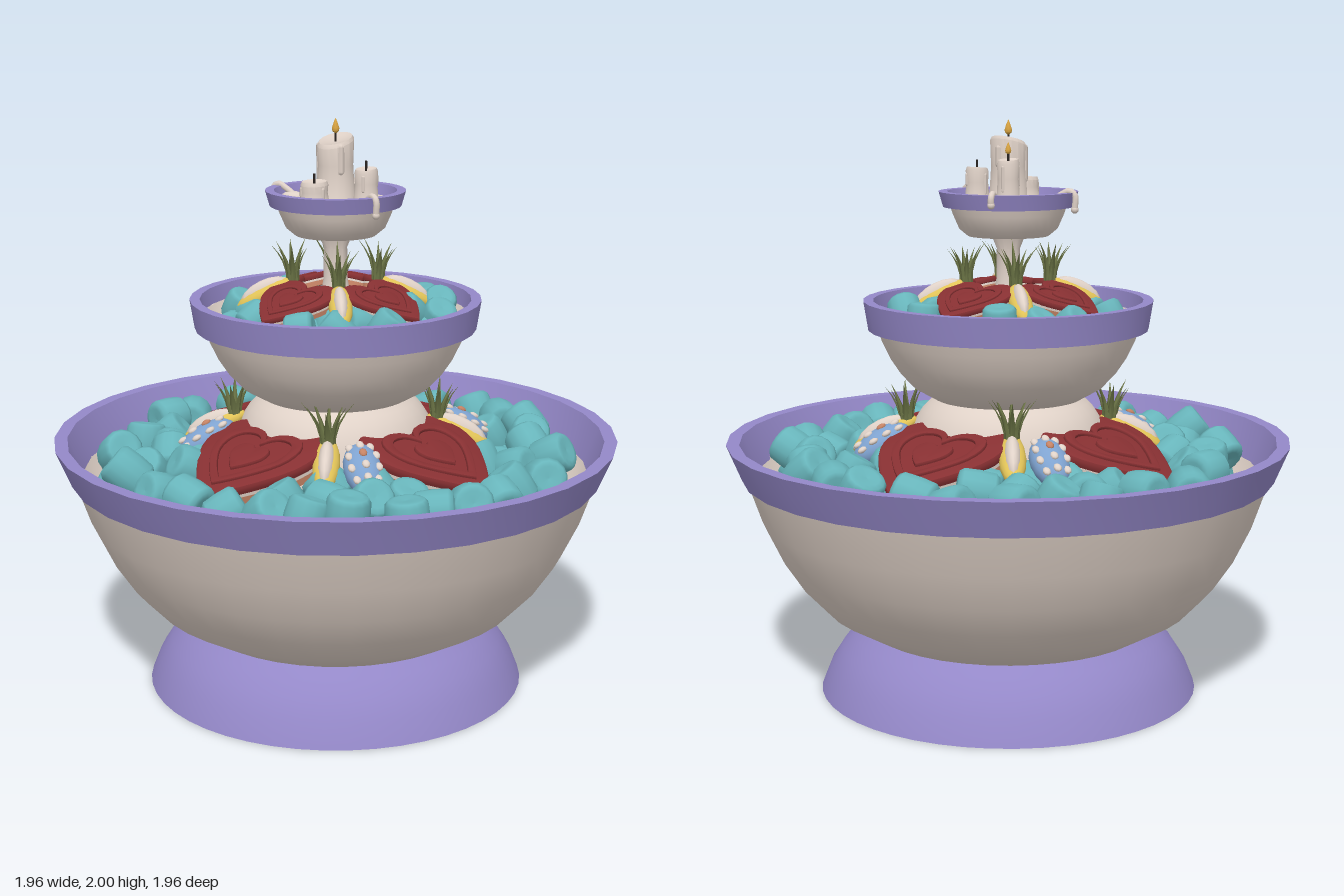
import * as THREE from 'three';
import { mergeGeometries, toCreasedNormals } from 'three/addons/utils/BufferGeometryUtils.js';

const mat = (name, color, side = THREE.FrontSide) => {
  const m = new THREE.MeshStandardMaterial({ color, side });
  m.name = name;
  return m;
};
const M = {
  purple: mat('purple glaze', 0x9488c8),
  cream: mat('cream', 0xe0d2c8),
  teal: mat('teal marshmallow', 0x68b5bb),
  red: mat('red icing', 0x873032),
  green: mat('leaf green', 0x6c7546, THREE.DoubleSide),
  yellow: mat('fruit yellow', 0xe2c458),
  sponge: mat('sponge orange', 0xc58365),
  blue: mat('icing blue', 0x7fa3d0),
  flame: mat('flame', 0xd9a441),
  wick: mat('wick', 0x2a2422),
};

const mesh = (parent, name, geo, material, x = 0, y = 0, z = 0) => {
  const m = new THREE.Mesh(geo, material);
  m.name = name;
  m.position.set(x, y, z);
  parent.add(m);
  return m;
};
const lathe = (pts, seg = 32) =>
  toCreasedNormals(new THREE.LatheGeometry(pts.map(p => new THREE.Vector2(p[0], p[1])), seg), 0.6);
const child = (parent, name) => {
  const g = new THREE.Group();
  g.name = name;
  parent.add(g);
  return g;
};

let seed = 11;
const rand = () => (seed = (seed * 16807) % 2147483647) / 2147483647;

// Shared profiles of the big bowl and its foot; the middle tier is a smaller copy
const FOOT = [[0, 0.2], [0.46, 0.2], [0.55, 0.15], [0.61, 0.08], [0.645, 0], [0.667, 0],
  [0.635, 0.08], [0.59, 0.15], [0.545, 0.195], [0.505, 0.227], [0, 0.227]];
const BOWL = [[0, 0.22], [0.505, 0.227], [0.65, 0.31], [0.735, 0.4], [0.805, 0.505], [0.865, 0.63],
  [0.92, 0.79], [0.895, 0.79], [0.85, 0.71], [0.79, 0.66], [0.7, 0.63], [0, 0.62]];

function rim(parent, rTop, rLow, yTop, yLow, wall) {
  mesh(parent, 'rim', lathe([[rLow - wall, yLow], [rLow, yLow], [rTop, yTop],
    [rTop - wall, yTop], [rLow - wall, yLow]]), M.purple);
}

// Heap of puffy cylinders, keeping clear of the hearts in the upper layer
function marshmallows(parent, s, rMin, rMax, layers, size) {
  const base = new THREE.LatheGeometry([[0, -0.44], [0.3, -0.48], [0.43, -0.46], [0.51, -0.36], [0.53, 0],
    [0.51, 0.36], [0.43, 0.46], [0.3, 0.48], [0, 0.44]].map(p => new THREE.Vector2(p[0], p[1])), 14);
  const parts = [], o = new THREE.Object3D();
  layers.forEach((y, layer) => {
    const placed = [];
    for (let i = 0; i < 4000; i++) {
      const a = rand() * Math.PI * 2;
      const r = Math.sqrt(rMin * rMin + rand() * (rMax * rMax - rMin * rMin));
      const x = r * Math.cos(a), z = r * Math.sin(a);
      if (layer && r < 0.68 * s && Math.min(Math.abs(x), Math.abs(z)) < 0.2 * s) continue;
      if (placed.some(p => Math.hypot(p[0] - x, p[1] - z) < size * 0.86)) continue;
      placed.push([x, z]);
      o.position.set(x, y + (rand() - 0.4) * 0.04 * s, z);
      o.rotation.set(rand() * 6, rand() * 6, rand() * 6);
      o.scale.set(size, size * (0.88 + rand() * 0.2), size);
      o.updateMatrix();
      parts.push(base.clone().applyMatrix4(o.matrix));
    }
  });
  mesh(parent, 'marshmallows', mergeGeometries(parts), M.teal);
}

// Heart outline, tip at -y
function heartShape(k, T = THREE.Shape) {
  const h = new T();
  h.moveTo(0, -0.23 * k);
  h.quadraticCurveTo(0.11 * k, -0.14 * k, 0.19 * k, -0.03 * k);
  h.bezierCurveTo(0.27 * k, 0.08 * k, 0.24 * k, 0.22 * k, 0.12 * k, 0.22 * k);
  h.bezierCurveTo(0.06 * k, 0.22 * k, 0.02 * k, 0.19 * k, 0, 0.14 * k);
  h.bezierCurveTo(-0.02 * k, 0.19 * k, -0.06 * k, 0.22 * k, -0.12 * k, 0.22 * k);
  h.bezierCurveTo(-0.24 * k, 0.22 * k, -0.27 * k, 0.08 * k, -0.19 * k, -0.03 * k);
  h.quadraticCurveTo(-0.11 * k, -0.14 * k, 0, -0.23 * k);
  return h;
}
function heartSlab(k, depth, bevel, hole) {
  const shape = heartShape(k);
  if (hole) shape.holes.push(heartShape(hole, THREE.Path));
  const g = new THREE.ExtrudeGeometry(shape, { depth, curveSegments: 8, bevelEnabled: bevel > 0,
    bevelSize: bevel, bevelThickness: bevel, bevelSegments: 2 });
  return toCreasedNormals(g.rotateX(-Math.PI / 2), 0.7);
}
function heartCake(parent, r, y, s) {
  const g = child(parent, 'heartCake');
  g.position.set(0, y, r);
  g.rotation.x = 0.33;
  g.scale.setScalar(s);
  mesh(g, 'sponge', heartSlab(0.95, 0.035, 0), M.sponge, 0, -0.05, 0);
  mesh(g, 'creamLayer', heartSlab(0.97, 0.012, 0), M.cream, 0, -0.022, 0);
  mesh(g, 'icing', heartSlab(0.96, 0.015, 0.01), M.red);
  mesh(g, 'outerRidge', heartSlab(0.7, 0.006, 0.006, 0.6), M.red, 0, 0.024, 0);
  mesh(g, 'innerHeart', heartSlab(0.28, 0.006, 0.008), M.red, 0, 0.024, 0);
}

// Fruit wedge with a tuft of curved leaves at its inner end
function fruitWedge(parent, r, y, s, leafBack) {
  const g = child(parent, 'fruitWedge');
  g.position.set(0, y, r);
  g.rotation.x = 0.45;
  g.scale.setScalar(s);
  mesh(g, 'rind', new THREE.SphereGeometry(1, 14, 10).scale(0.05, 0.04, 0.14), M.yellow);
  mesh(g, 'flesh', new THREE.SphereGeometry(1, 12, 8).scale(0.032, 0.055, 0.115), M.cream, 0, 0.006, 0);
  const blades = [];
  for (let i = 0; i < 8; i++) {
    const h = 0.14 + 0.05 * rand();
    const b = new THREE.ConeGeometry(0.02, h, 4, 4).translate(0, h / 2, 0).scale(1, 1, 0.5);
    const p = b.attributes.position;
    for (let j = 0; j < p.count; j++) p.setZ(j, p.getZ(j) + 2.6 * p.getY(j) ** 2);
    b.rotateY(i * 0.785).translate(Math.sin(i * 0.785) * 0.018, 0, Math.cos(i * 0.785) * 0.018);
    b.computeVertexNormals();
    blades.push(b);
  }
  mesh(g, 'leaves', mergeGeometries(blades), M.green, 0, 0, leafBack).rotation.x = -0.4;
}

// Blue iced cake with cream piping
function icedCake(parent, r, y) {
  const g = child(parent, 'icedCake');
  g.position.set(0, y, r);
  g.rotation.x = 0.5;
  mesh(g, 'blueIcing', new THREE.SphereGeometry(1, 16, 12).scale(0.065, 0.055, 0.11), M.blue);
  for (let i = 0; i < 12; i++) {
    const u = (i % 3 - 1) * 0.8, v = (Math.floor(i / 3) - 1.5) * 0.48;
    mesh(g, 'piping', new THREE.SphereGeometry(0.014, 8, 6).scale(1, 0.7, 1.3), i === 4 ? M.sponge : M.cream,
      0.065 * Math.sin(u) * Math.cos(v), 0.055 * Math.cos(u) * Math.cos(v), 0.11 * Math.sin(v));
  }
}

function ringOf(parent, offset, build) {
  for (let i = 0; i < 4; i++) {
    const g = child(parent, 'toppingArm');
    g.rotation.y = offset + i * Math.PI / 2;
    build(g);
  }
}

function candle(parent, x, z, r, top, lit, slant) {
  const g = child(parent, 'candle');
  g.position.set(x, 1.71, z);
  const h = top - 1.71;
  const wax = lathe([[0, 0], [r * 1.25, 0], [r * 1.05, 0.025], [r * 0.95, h * 0.6], [r, h - 0.012],
    [r * 0.9, h], [r * 0.6, h - 0.004], [0, h - 0.01]], 16);
  const p = wax.attributes.position;
  for (let i = 0; i < p.count; i++) if (p.getY(i) > h * 0.8) p.setY(i, p.getY(i) + p.getX(i) * slant);
  mesh(g, 'wax', wax, M.cream);
  for (let i = 0; i < 3; i++) {
    const a = i * 2.1 + x * 20, len = h * (0.25 + 0.12 * i);
    mesh(g, 'waxRun', new THREE.CapsuleGeometry(r * 0.2, len, 3, 6), M.cream,
      Math.cos(a) * r * 0.86, h - len / 2 - 0.025, Math.sin(a) * r * 0.86);
  }
  mesh(g, 'wick', new THREE.CylinderGeometry(0.004, 0.004, 0.04, 6), M.wick, 0, h + 0.006, 0);
  if (lit) mesh(g, 'flame', lathe([[0, 0], [0.011 * lit, 0.01 * lit], [0.013 * lit, 0.02 * lit],
    [0.007 * lit, 0.038 * lit], [0, 0.055 * lit]], 10), M.flame, 0, h + 0.015, 0);
}

export function createModel() {
  const root = new THREE.Group();
  root.name = 'tieredFountain';

  // Lower tier
  const lower = child(root, 'lowerTier');
  mesh(lower, 'foot', lathe(FOOT, 48), M.purple);
  mesh(lower, 'bowl', lathe(BOWL, 40), M.cream);
  rim(lower, 0.982, 0.93, 0.9, 0.775, 0.045);
  marshmallows(lower, 1, 0.4, 0.77, [0.725, 0.825], 0.138);
  ringOf(lower, 0, g => heartCake(g, 0.45, 0.885, 1));
  ringOf(lower, Math.PI / 4 - 0.14, g => fruitWedge(g, 0.43, 0.91, 0.92, -0.09));
  ringOf(lower, Math.PI / 4 + 0.13, g => icedCake(g, 0.455, 0.9));

  // Middle tier
  const middle = child(root, 'middleTier');
  const scaled = pts => pts.map(([r, y]) => [r * 0.51, y * 0.51 + 0.926]);
  mesh(middle, 'pedestal', lathe([[0.38, 0.62], [0.36, 0.85], ...scaled(FOOT).slice(5)], 32), M.cream);
  mesh(middle, 'bowl', lathe(scaled(BOWL), 40), M.cream);
  rim(middle, 0.503, 0.487, 1.385, 1.285, 0.035);
  marshmallows(middle, 0.57, 0.14, 0.365, [1.285, 1.335], 0.112);
  ringOf(middle, 0, g => heartCake(g, 0.235, 1.395, 0.6));
  ringOf(middle, Math.PI / 4, g => fruitWedge(g, 0.24, 1.4, 0.8, -0.13));

  // Top tier
  const top = child(root, 'topTier');
  mesh(top, 'post', lathe([[0.12, 1.22], [0.08, 1.34], [0.05, 1.4], [0.042, 1.45], [0.04, 1.56],
    [0.06, 1.61]], 24), M.cream);
  mesh(top, 'bowl', lathe([[0, 1.6], [0.14, 1.605], [0.17, 1.63], [0.192, 1.68], [0.205, 1.72],
    [0.19, 1.72], [0, 1.715]], 32), M.cream);
  rim(top, 0.24, 0.225, 1.757, 1.705, 0.03);

  // Candles and wax running over the rim
  candle(top, 0, 0, 0.063, 1.93, 1, 0.3);
  candle(top, -0.125, 0.015, 0.047, 1.8, 0, 0.05);
  candle(top, 0.1, -0.07, 0.038, 1.87, 0.8, -0.1);
  candle(top, 0.03, 0.11, 0.04, 1.835, 0, 0.1);
  [[-0.05, -0.22, 1.7], [0.215, -0.085, 1.725], [-0.06, 0.215, 1.7]].forEach(([x, z, low]) => {
    const g = child(top, 'waxDrip');
    g.rotation.y = Math.atan2(x, z);
    const path = new THREE.CatmullRomCurve3([[0.15, 1.72], [0.195, 1.75], [0.222, 1.762], [0.243, 1.75], [0.243, low]]
      .map(([r, y]) => new THREE.Vector3(0, y, r)));
    mesh(g, 'run', new THREE.TubeGeometry(path, 14, 0.011, 8), M.cream);
    mesh(g, 'drop', new THREE.SphereGeometry(0.013, 10, 8), M.cream, 0, low, 0.243);
    mesh(g, 'pool', new THREE.SphereGeometry(1, 12, 8).scale(0.032, 0.018, 0.045), M.cream, 0, 1.722, 0.165);
  });
  return root;
}
